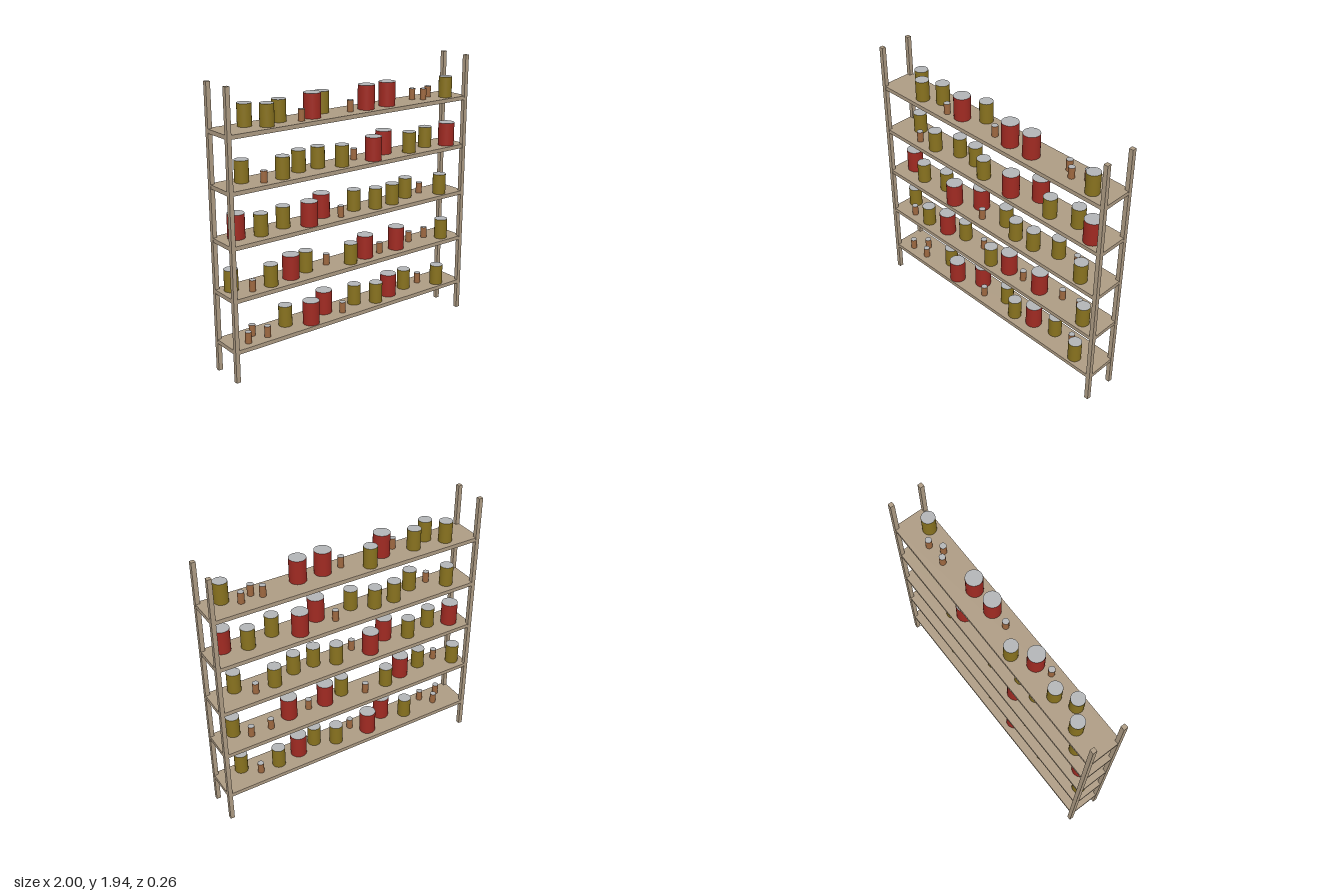
import * as THREE from 'three';

const mat = (name, color) => {
  const m = new THREE.MeshStandardMaterial({ color });
  m.name = name;
  return m;
};

export function createModel() {
  const wood = mat('tan wood', 0xae9c84);
  const olive = mat('olive', 0x88721f);
  const red = mat('red', 0xa02a22);
  const brown = mat('brown', 0x9d6840);
  const metal = mat('grey lid', 0xb3b5b7);

  const group = new THREE.Group();
  group.name = 'stockedShelf';

  // Four corner posts
  for (const sx of [-1, 1]) for (const sz of [-1, 1]) {
    const post = new THREE.Mesh(new THREE.BoxGeometry(0.03, 1.94, 0.03), wood);
    post.position.set(sx * 0.985, 0.97, sz * 0.113);
    post.name = 'post';
    group.add(post);
  }

  // Container types: wall colour, radius, height; lids are grey
  const kind = (name, wall, r, h) => ({
    name, h, geometry: new THREE.CylinderGeometry(r, r, h, 32), materials: [wall, metal, metal],
  });
  const kinds = {
    m: kind('mediumCan', olive, 0.047, 0.147),
    l: kind('largeCan', red, 0.0575, 0.166),
    s: kind('smallCan', brown, 0.022, 0.078),
  };

  // Contents of each shelf from the bottom up: [kind, x, z]
  const contents = [
    [['s', -0.86, 0.06], ['s', -0.78, -0.02], ['s', -0.71, 0.06], ['m', -0.513, -0.02], ['l', -0.356, 0.063],
      ['l', -0.18, -0.03], ['s', -0.08, 0.055], ['m', 0.083, -0.02], ['m', 0.227, 0.05], ['l', 0.377, 0.01],
      ['m', 0.553, -0.02], ['s', 0.7, -0.03], ['m', 0.807, 0.063]],
    [['m', -0.917, -0.035], ['s', -0.815, 0.06], ['m', -0.666, 0.05], ['l', -0.49, 0.025], ['m', -0.34, -0.015],
      ['s', -0.16, -0.025], ['m', -0.008, 0.055], ['l', 0.144, 0.025], ['s', 0.278, 0.025], ['l', 0.433, 0.025],
      ['s', 0.6, -0.025], ['s', 0.75, -0.025], ['m', 0.848, 0.055]],
    [['l', -0.874, -0.02], ['m', -0.719, 0.03], ['m', -0.521, -0.01], ['l', -0.361, 0.063], ['l', -0.19, -0.035],
      ['s', -0.091, 0.055], ['m', 0.073, -0.015], ['m', 0.22, 0.045], ['m', 0.377, 0.04], ['m', 0.551, -0.02],
      ['s', 0.7, -0.035], ['m', 0.81, 0.063]],
    [['m', -0.81, -0.036], ['s', -0.705, 0.06], ['m', -0.556, 0.05], ['m', -0.382, -0.02], ['m', -0.227, -0.02],
      ['m', -0.078, 0.05], ['s', 0.086, -0.03], ['l', 0.185, 0.06], ['l', 0.358, -0.04], ['m', 0.519, 0.05],
      ['m', 0.714, 0], ['l', 0.872, 0.055]],
    [['m', -0.773, -0.04], ['m', -0.665, 0.05], ['m', -0.532, -0.015], ['s', -0.41, 0.06], ['l', -0.3, 0.025],
      ['m', -0.16, -0.06], ['s', 0.008, 0.03], ['l', 0.144, 0.03], ['l', 0.327, 0.028], ['s', 0.6, -0.02],
      ['s', 0.66, 0.03], ['s', 0.749, -0.02], ['m', 0.848, 0.055]],
  ];

  // Boards with their rows of containers
  contents.forEach((row, i) => {
    const level = new THREE.Group();
    level.name = 'shelfLevel';
    level.position.y = 0.226 + i * 0.355;
    const board = new THREE.Mesh(new THREE.BoxGeometry(1.996, 0.028, 0.252), wood);
    board.position.y = -0.014;
    board.name = 'shelfBoard';
    level.add(board);
    for (const [k, x, z] of row) {
      const { name, h, geometry, materials } = kinds[k];
      const can = new THREE.Mesh(geometry, materials);
      can.position.set(x, h / 2, z);
      can.name = name;
      level.add(can);
    }
    group.add(level);
  });

  return group;
}
